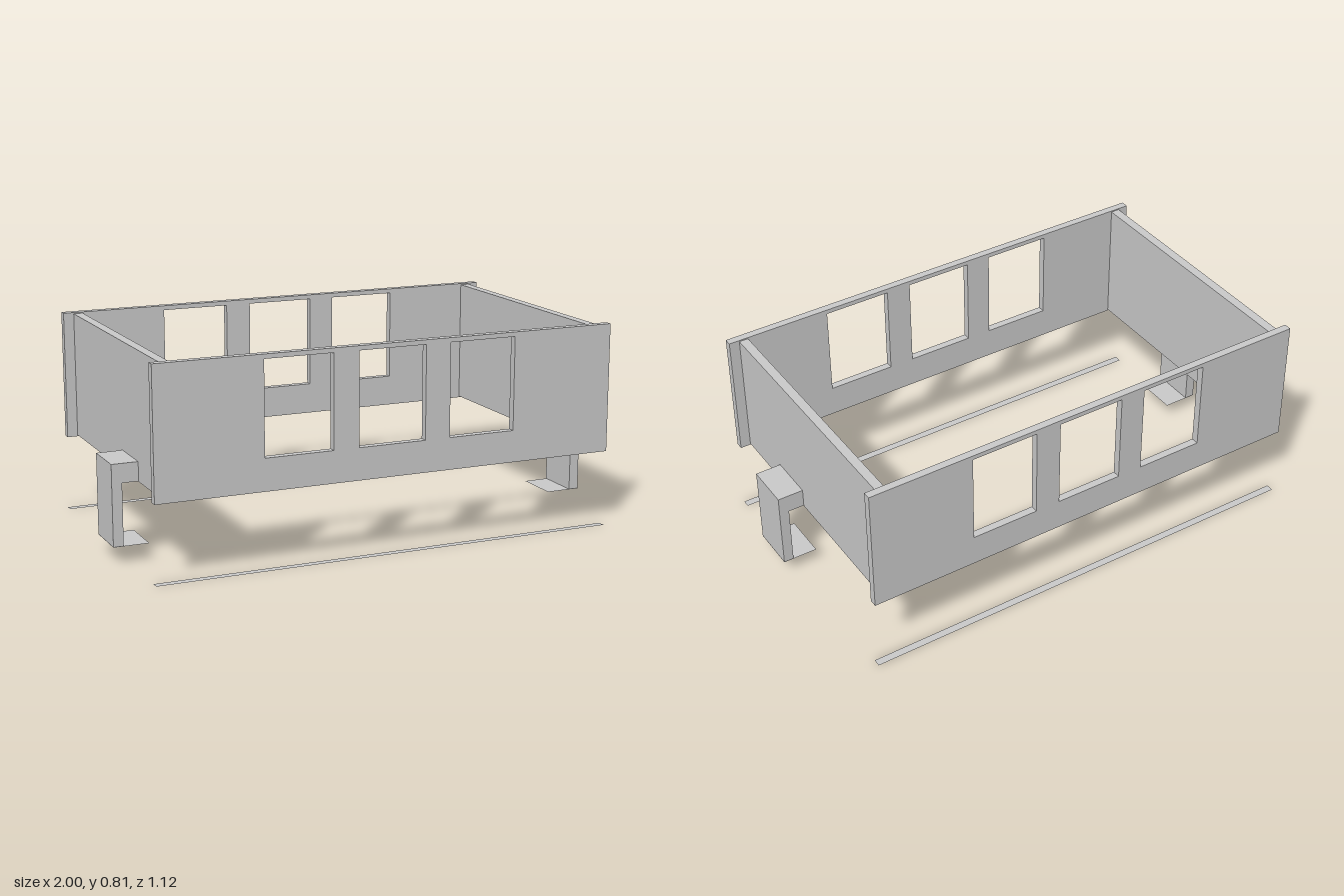
import * as THREE from 'three';

const grey = new THREE.MeshStandardMaterial({ color: 0xcccccc, flatShading: true });
const thin = new THREE.MeshStandardMaterial({ color: 0xcccccc, flatShading: true, side: THREE.DoubleSide });

// Box given by its minimum and maximum corners
function box(name, x0, x1, y0, y1, z0, z1) {
  const mesh = new THREE.Mesh(new THREE.BoxGeometry(x1 - x0, y1 - y0, z1 - z0), grey);
  mesh.name = name;
  mesh.position.set((x0 + x1) / 2, (y0 + y1) / 2, (z0 + z1) / 2);
  return mesh;
}

// Flat horizontal sheet without thickness
function sheet(name, x, y, z, width, depth) {
  const mesh = new THREE.Mesh(new THREE.PlaneGeometry(width, depth).rotateX(-Math.PI / 2), thin);
  mesh.name = name;
  mesh.position.set(x, y, z);
  return mesh;
}

function rectangle(Type, x0, x1, y0, y1) {
  return new Type([[x0, y0], [x1, y0], [x1, y1], [x0, y1]].map(([x, y]) => new THREE.Vector2(x, y)));
}

// Long wall with three window openings
function windowWall(name, z) {
  const shape = rectangle(THREE.Shape, -0.938, 0.938, 0.304, 0.815);
  for (const x of [-0.377, 0, 0.377]) {
    shape.holes.push(rectangle(THREE.Path, x - 0.137, x + 0.137, 0.43, 0.797));
  }
  const mesh = new THREE.Mesh(new THREE.ExtrudeGeometry(shape, { depth: 0.031, bevelEnabled: false }), grey);
  mesh.name = name;
  mesh.position.z = z - 0.0155;
  return mesh;
}

export function createModel() {
  const model = new THREE.Group();
  model.name = 'windowedFrame';

  model.add(windowWall('frontWall', 0.5435), windowWall('backWall', -0.5435));

  // Thin ground strips below the long walls
  model.add(sheet('frontGroundStrip', 0, 0, 0.5435, 1.876, 0.031));
  model.add(sheet('backGroundStrip', 0, 0, -0.5435, 1.876, 0.031));

  for (const side of [1, -1]) {
    const label = side > 0 ? 'left' : 'right';
    const span = (a, b) => (side > 0 ? [a, b] : [-b, -a]);

    // Plain end wall
    model.add(box(label + 'EndWall', ...span(0.859, 0.896), 0.309, 0.81, -0.528, 0.528));

    // Hanging bracket: arm, drop plate and thin foot
    const bracket = new THREE.Group();
    bracket.name = label + 'Bracket';
    bracket.add(
      box('bracketArm', ...span(0.861, 0.96), 0.311, 0.386, 0.07, 0.256),
      box('bracketDrop', ...span(0.96, 1), 0.068, 0.386, 0.07, 0.256),
      sheet('bracketFoot', side * 0.93, 0.067, 0.163, 0.14, 0.186)
    );
    model.add(bracket);
  }
  return model;
}
